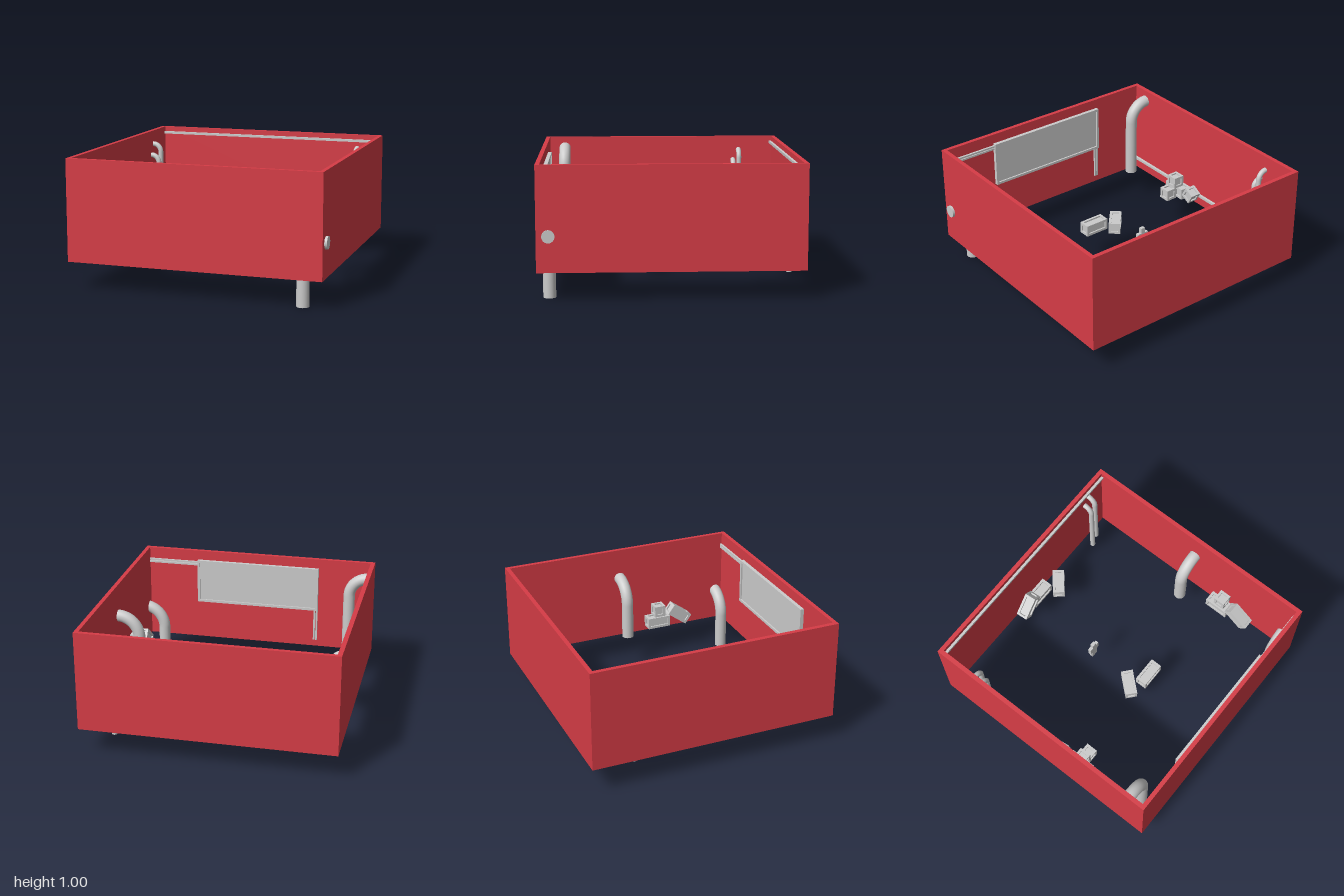
import * as THREE from 'three';

const grey = new THREE.MeshStandardMaterial({ color: 0xcccccc, side: THREE.DoubleSide });
const red = new THREE.MeshStandardMaterial({ color: 0xd63c46 });

function add(parent, name, geometry, x = 0, y = 0, z = 0, material = grey) {
  const mesh = new THREE.Mesh(geometry, material);
  mesh.name = name;
  mesh.position.set(x, y, z);
  parent.add(mesh);
  return mesh;
}

function group(parent, name, x = 0, y = 0, z = 0) {
  const g = new THREE.Group();
  g.name = name;
  g.position.set(x, y, z);
  parent.add(g);
  return g;
}

// Box given by its lower and upper corners
function span(parent, name, [x0, y0, z0], [x1, y1, z1]) {
  return add(parent, name, new THREE.BoxGeometry(x1 - x0, y1 - y0, z1 - z0),
    (x0 + x1) / 2, (y0 + y1) / 2, (z0 + z1) / 2);
}

// Vertical pipe whose top turns a quarter circle towards local +x
function pipe(parent, name, x, z, bottom, top, radius, bend, yaw) {
  const g = group(parent, name, x, 0, z);
  g.rotation.y = yaw;
  const length = top - bend - bottom;
  add(g, 'pipeShaft', new THREE.CylinderGeometry(radius, radius, length, 24), 0, bottom + length / 2, 0);
  const elbow = add(g, 'pipeElbow', new THREE.TorusGeometry(bend, radius, 24, 10, Math.PI / 2), bend, top - bend, 0);
  elbow.rotation.z = Math.PI / 2;
  const cap = add(g, 'pipeEnd', new THREE.CircleGeometry(radius, 24), bend, top, 0);
  cap.rotation.y = Math.PI / 2;
}

// Block with a raised rim round a sunken panel on every face
function block(parent, name, length, [x, y, z], [rx, ry, rz] = [0, 0, 0]) {
  const g = group(parent, name, x, y, z);
  g.rotation.set(rx, ry, rz, 'YXZ');
  const size = [length, 0.095, 0.095], rim = 0.02, sunk = 0.012;
  add(g, 'blockCore', new THREE.BoxGeometry(...size.map((s) => s - 2 * sunk)));
  for (let axis = 0; axis < 3; axis++) {
    const b = (axis + 1) % 3, c = (axis + 2) % 3;
    for (const sb of [-1, 1]) for (const sc of [-1, 1]) {
      const dims = [rim, rim, rim], pos = [0, 0, 0];
      dims[axis] = size[axis];
      pos[b] = sb * (size[b] - rim) / 2;
      pos[c] = sc * (size[c] - rim) / 2;
      add(g, 'blockRim', new THREE.BoxGeometry(...dims), ...pos);
    }
  }
}

export function createModel() {
  const model = new THREE.Group();
  model.name = 'pipeRoom';

  // Four walls, open above and below
  const outline = new THREE.Shape();
  outline.moveTo(-1, -0.99).lineTo(0.98, -0.99).lineTo(0.98, 0.99).lineTo(-1, 0.99).closePath();
  const inside = new THREE.Path();
  inside.moveTo(-0.965, -0.957).lineTo(-0.965, 0.957).lineTo(0.947, 0.957).lineTo(0.947, -0.957).closePath();
  outline.holes.push(inside);
  const walls = new THREE.ExtrudeGeometry(outline, { depth: 0.79, bevelEnabled: false });
  walls.rotateX(-Math.PI / 2);
  add(model, 'walls', walls, 0, 0.215, 0, red);

  // Large pipes
  pipe(model, 'frontRightPipe', 0.815, 0.9, 0, 0.485, 0.048, 0.185, 0);
  pipe(model, 'rightPipe', 0.775, 0, 0.28, 0.75, 0.048, 0.175, 0);
  pipe(model, 'frontLeftPipe', -0.81, 0.83, 0.27, 0.91, 0.048, 0.155, Math.PI);

  // Pairs of thin pipes, one lower than the other
  for (const [offset, bottom, top] of [[0, 0.155, 0.8], [0.047, 0.26, 0.89]]) {
    pipe(model, 'leftThinPipe', -0.897, -0.625 - offset, bottom, top, 0.021, 0.066, Math.PI);
    pipe(model, 'backThinPipe', 0.724 + offset, -0.888, bottom, top, 0.021, 0.068, Math.PI / 2);
  }

  // Framed board on the front wall
  const board = group(model, 'wallBoard');
  span(board, 'boardPanel', [-0.53, 0.55, 0.94], [0.52, 0.925, 0.957]);
  for (const x of [-0.53, 0.5]) span(board, 'boardSide', [x, 0.55, 0.927], [x + 0.02, 0.925, 0.957]);
  for (const y of [0.55, 0.905]) span(board, 'boardEdge', [-0.51, y, 0.927], [0.5, y + 0.02, 0.957]);

  // Cable runs along the walls
  for (const d of [0, 0.02]) {
    span(model, 'boardCable', [0.52, 0.875 + d, 0.94], [0.947, 0.89 + d, 0.957]);
    span(model, 'boardDropCable', [-0.53 + d, 0.275, 0.942], [-0.515 + d, 0.55, 0.957]);
  }
  span(model, 'backCable', [-0.965, 0.945, -0.957], [0.947, 0.965, -0.937]);
  span(model, 'leftCable', [-0.965, 0.3, -0.957], [-0.943, 0.32, 0.957]);

  // Long blocks lying on the floor or leaning on one another
  const floor = 0.315;
  block(model, 'middleBlock', 0.205, [0.045, floor, 0.24]);
  block(model, 'middleTurnedBlock', 0.2, [-0.12, floor, 0.17], [0, 0.85, 0]);
  block(model, 'backBlock', 0.205, [0.045, floor, -0.905]);
  block(model, 'backTurnedBlock', 0.2, [0.21, floor, -0.835], [0, 0.7, 0]);
  block(model, 'backLeaningBlock', 0.2, [-0.115, 0.385, -0.885], [0, 0.08, 0.77]);
  block(model, 'rightBlock', 0.2, [0.886, floor, 0.322], [0, Math.PI / 2, 0]);
  block(model, 'rightLeaningBlock', 0.2, [0.886, 0.355, 0.515], [0, Math.PI / 2, 0.64]);

  // Cubes
  block(model, 'rightTopCube', 0.095, [0.9, floor + 0.095, 0.335]);
  block(model, 'leftCube', 0.095, [-0.884, floor, 0.22]);
  block(model, 'leftCube', 0.095, [-0.884, floor, 0.335]);
  block(model, 'leftCube', 0.095, [-0.774, floor, 0.275]);
  block(model, 'leftTopCube', 0.095, [-0.852, floor + 0.095, 0.275]);
  block(model, 'leftTiltedCube', 0.095, [-0.886, 0.335, 0.108], [-0.5, 0, 0]);

  // Small figure made of boxes
  const figure = group(model, 'figure', -0.077, 0.265, -0.233);
  for (const s of [-1, 1]) {
    span(figure, 'leg', [s * 0.015 - 0.015, 0, -0.013], [s * 0.015 + 0.015, 0.09, 0.013]);
    span(figure, 'arm', [s * 0.039 - 0.01, 0.09, -0.013], [s * 0.039 + 0.01, 0.17, 0.013]);
  }
  span(figure, 'torso', [-0.029, 0.09, -0.013], [0.029, 0.17, 0.013]);
  span(figure, 'head', [-0.018, 0.17, -0.014], [0.018, 0.215, 0.014]);

  return model;
}
